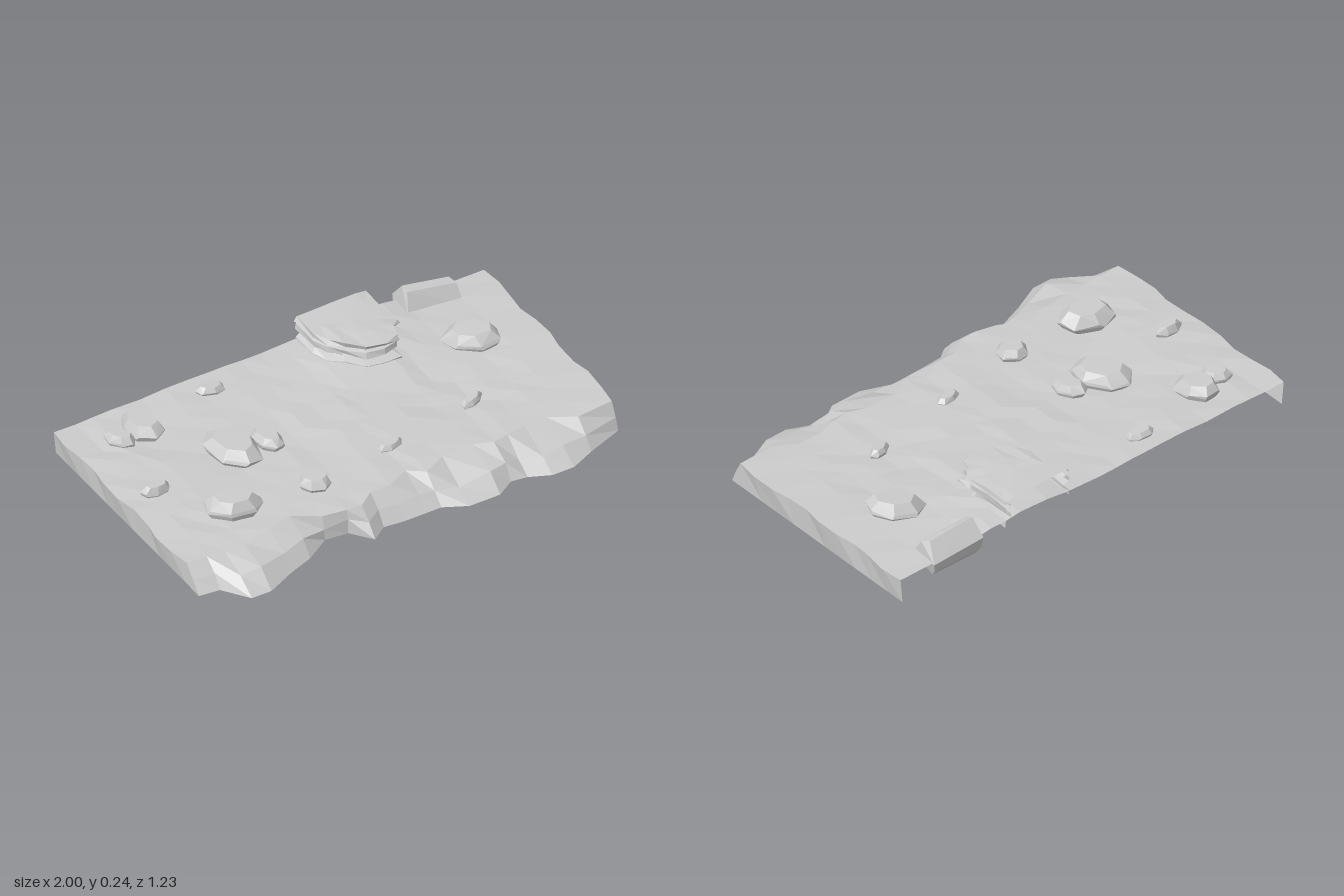
import * as THREE from 'three';
import { ConvexGeometry } from 'three/addons/geometries/ConvexGeometry.js';

const material = new THREE.MeshStandardMaterial({
  color: 0xcccccc, flatShading: true, side: THREE.DoubleSide,
});

// Small seeded generator, returns -1..1
function seeded(seed) {
  let s = seed * 7919 + 17;
  return () => {
    s = (s * 16807) % 2147483647;
    return (s / 2147483647) * 2 - 1;
  };
}

// Skin between rows of points that all have the same length
function skin(rows) {
  const n = rows[0].length;
  const index = [];
  for (let r = 0; r < rows.length - 1; r++) {
    for (let c = 0; c < n - 1; c++) {
      const a = r * n + c, b = a + n;
      index.push(a, b, b + 1, a, b + 1, a + 1);
    }
  }
  const geometry = new THREE.BufferGeometry();
  geometry.setAttribute('position', new THREE.Float32BufferAttribute(rows.flat(2), 3));
  geometry.setIndex(index);
  geometry.computeVertexNormals();
  return geometry;
}

function addMesh(group, name, geometry) {
  const mesh = new THREE.Mesh(geometry, material);
  mesh.name = name;
  group.add(mesh);
}

// Cliff columns: x, z of the upper lip, z of the foot
const CLIFF = [
  [-0.98, 0.40, 0.49], [-0.89, 0.40, 0.50], [-0.81, 0.40, 0.61], [-0.72, 0.40, 0.61],
  [-0.59, 0.38, 0.55], [-0.48, 0.35, 0.51], [-0.37, 0.42, 0.44], [-0.27, 0.44, 0.45],
  [-0.20, 0.44, 0.54], [-0.13, 0.39, 0.49], [-0.04, 0.39, 0.50], [0.06, 0.34, 0.50],
  [0.13, 0.39, 0.50], [0.23, 0.34, 0.55], [0.37, 0.34, 0.55], [0.45, 0.37, 0.50],
  [0.52, 0.36, 0.51], [0.61, 0.34, 0.55], [0.71, 0.34, 0.55], [0.82, 0.40, 0.50],
  [0.98, 0.39, 0.44],
];
const BACK = -0.59;

// Gentle height of the ground, with a mound under the ledge
function groundHeight(x, z) {
  const mound = 0.03 * Math.exp(-((x - 0.32) ** 2 + (z + 0.45) ** 2) / 0.06);
  return 0.11 + 0.006 * x - 0.008 * z + 0.005 * Math.sin(7 * x + 1) * Math.cos(5 * z) + mound;
}

function buildGround(group) {
  const rand = seeded(3);
  const steps = 10;
  const top = [];
  for (let r = 0; r <= steps; r++) {
    const t = r / steps;
    top.push(CLIFF.map(([x, lip], c) => {
      const edge = c === 0 || c === CLIFF.length - 1;
      const inner = r > 0 && r < steps;
      const z = THREE.MathUtils.lerp(BACK, lip, t) + (inner ? rand() * 0.015 : 0);
      // The two ends waver between 0.98 and 1
      const px = edge ? Math.sign(x) * (0.99 + 0.01 * Math.sin(r * 1.7)) : x + (inner ? rand() * 0.012 : 0);
      return [px, groundHeight(x, z) + rand() * 0.004, z];
    }));
  }
  addMesh(group, 'ground', skin(top));

  // Sloping broken front with one middle ridge
  const lip = top[steps];
  const middle = CLIFF.map(([x, a, b], c) =>
    [lip[c][0], 0.055 + rand() * 0.015, THREE.MathUtils.lerp(a, b, 0.6) + rand() * 0.012]);
  const foot = CLIFF.map(([x, a, b], c) => [c % 20 ? x : Math.sign(x) * 0.98, 0, b]);
  addMesh(group, 'cliffFront', skin([lip, middle, foot]));

  // Straight end walls, open below and behind
  [0, CLIFF.length - 1].forEach((c, i) => {
    const upper = [...top.map((row) => row[c]), middle[c]];
    const lower = upper.map(([x, , z], k) =>
      [Math.sign(x) * 0.98, 0, THREE.MathUtils.lerp(BACK, foot[c][2], k / (upper.length - 1))]);
    if (i) { upper.reverse(); lower.reverse(); }
    addMesh(group, i ? 'leftWall' : 'rightWall', skin([upper, lower]));
  });
}

// Stacked stone ledge, cut flat and open at the back edge
function buildLedge(group) {
  const rand = seeded(11);
  const outline = [
    [-0.17, 0], [-0.17, 0.13], [-0.14, 0.20], [-0.09, 0.25], [-0.03, 0.31], [0.05, 0.33],
    [0.12, 0.32], [0.13, 0.25], [0.17, 0.22], [0.155, 0.12], [0.155, 0],
  ];
  const layers = [
    [0.10, 1.0], [0.135, 1.0], [0.145, 0.86], [0.165, 0.86], [0.17, 0.98],
    [0.195, 0.96], [0.2, 0.84], [0.21, 0.86], [0.212, 1.0], [0.23, 0.99], [0.235, 0.7], [0.235, 0],
  ];
  const rows = layers.map(([y, s]) => outline.map(([x, z], i) => {
    const k = s * (1 + rand() * 0.04);
    return [0.29 + x * k, y + (s ? rand() * 0.004 : 0), BACK + (s ? z * k : 0.15 * (i % 10 ? 1 : 0))];
  }));
  addMesh(group, 'ledge', skin(rows.reverse()));
}

// Faceted boulder: convex hull of three uneven rings
function boulder([x, z, rx, rz, turn, bottom, top], seed) {
  const rand = seeded(seed);
  const points = [];
  const cos = Math.cos(turn), sin = Math.sin(turn);
  const tilt = rand() * 0.12;
  for (const [h, s] of [[0, 0.65], [0.5, 1], [0.62, 0.97], [0.95, 0.68]]) {
    for (let i = 0; i < 7; i++) {
      const a = (i / 7) * Math.PI * 2 + seed + rand() * 0.12;
      const k = s * (1 + rand() * 0.07);
      const u = Math.cos(a) * rx * k, v = Math.sin(a) * rz * k;
      const y = bottom + (top - bottom) * h + u * tilt;
      points.push(new THREE.Vector3(x + u * cos - v * sin, y, z + u * sin + v * cos));
    }
  }
  return new ConvexGeometry(points);
}

// Boulders: x, z, half length, half width, turn, bottom, top
const BOULDERS = [
  [-0.69, -0.42, 0.10, 0.075, 1.3, 0.07, 0.175],
  [-0.80, -0.40, 0.065, 0.045, 0.9, 0.08, 0.155],
  [-0.33, -0.49, 0.065, 0.036, 0.2, 0.09, 0.145],
  [-0.46, -0.11, 0.13, 0.095, 1.2, 0.07, 0.178],
  [-0.31, -0.09, 0.078, 0.05, 1.2, 0.08, 0.16],
  [-0.85, -0.05, 0.065, 0.038, 0, 0.08, 0.155],
  [-0.65, 0.205, 0.118, 0.085, 0.35, 0.07, 0.187],
  [-0.29, 0.235, 0.065, 0.058, 0.5, 0.08, 0.16],
  [0.09, 0.18, 0.06, 0.032, -0.2, 0.085, 0.137],
  [0.51, 0.10, 0.06, 0.032, -0.4, 0.085, 0.14],
  [0.71, -0.23, 0.12, 0.085, 0.6, 0.07, 0.185],
];

// Slanted oblong block that overhangs the back edge
function buildBlock(group) {
  const p = (x, y, z) => new THREE.Vector3(x, y, z);
  addMesh(group, 'backBlock', new ConvexGeometry([
    p(0.58, 0.08, -0.60), p(0.81, 0.06, -0.585), p(0.59, 0.035, -0.57), p(0.80, 0.03, -0.56),
    p(0.585, 0.14, -0.618), p(0.825, 0.11, -0.60), p(0.595, 0.215, -0.56), p(0.80, 0.187, -0.545),
    p(0.60, 0.20, -0.53), p(0.815, 0.175, -0.51), p(0.58, 0.11, -0.49), p(0.82, 0.10, -0.465),
  ]));
}

export function createModel() {
  const group = new THREE.Group();
  group.name = 'rockyGround';
  buildGround(group);
  buildLedge(group);
  BOULDERS.forEach((b, i) => addMesh(group, `boulder${i + 1}`, boulder(b, i + 2)));
  buildBlock(group);
  return group;
}
